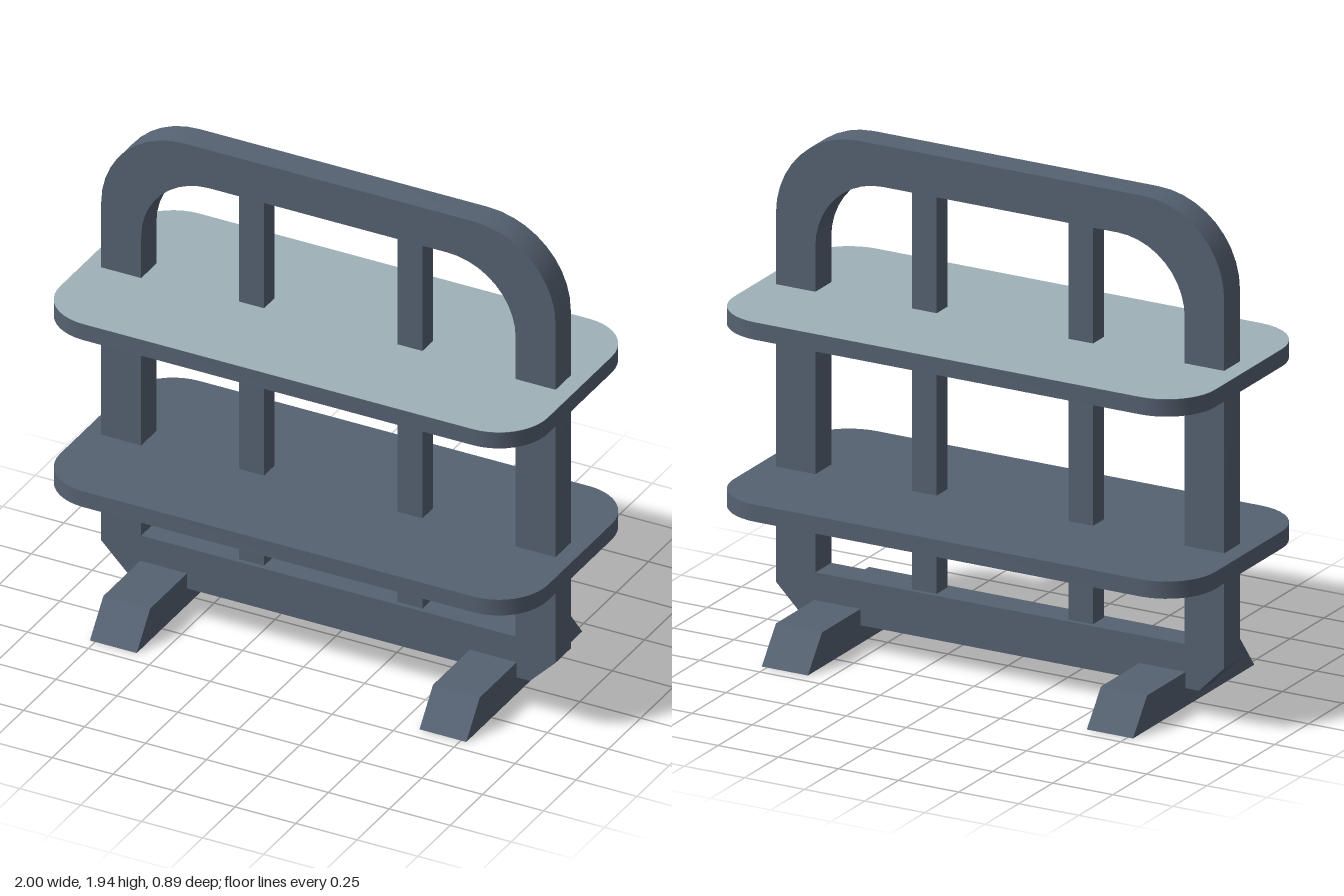
import * as THREE from 'three';
import { toCreasedNormals } from 'three/addons/utils/BufferGeometryUtils.js';

const slate = new THREE.MeshStandardMaterial({ color: 0x566272 });
slate.name = 'slate';
const paleGrey = new THREE.MeshStandardMaterial({ color: 0x9fb1b8 });
paleGrey.name = 'pale grey';

const HALF_PI = Math.PI / 2;

// Extrudes a shape, centred on its depth, with rounded corners smoothed
function extrude(shape, depth) {
  const geo = new THREE.ExtrudeGeometry(shape, { depth, bevelEnabled: false, curveSegments: 5 });
  geo.translate(0, 0, -depth / 2);
  return toCreasedNormals(geo, 0.6);
}

function roundedRect(hw, hh, r) {
  const s = new THREE.Shape();
  s.absarc(hw - r, hh - r, r, 0, HALF_PI);
  s.absarc(r - hw, hh - r, r, HALF_PI, Math.PI);
  s.absarc(r - hw, r - hh, r, Math.PI, 3 * HALF_PI);
  s.absarc(hw - r, r - hh, r, 3 * HALF_PI, 4 * HALF_PI);
  s.closePath();
  return s;
}

// Outline with two rounded top corners and optionally cut bottom corners
function archPath(path, hw, bottom, top, r, cut) {
  path.moveTo(hw - cut, bottom);
  if (cut) path.lineTo(hw, bottom + cut);
  path.lineTo(hw, top - r);
  path.absarc(hw - r, top - r, r, 0, HALF_PI);
  path.absarc(r - hw, top - r, r, HALF_PI, Math.PI);
  path.lineTo(-hw, bottom + cut);
  if (cut) path.lineTo(cut - hw, bottom);
  path.closePath();
  return path;
}

export function createModel() {
  const group = new THREE.Group();
  const add = (name, geo, material = slate) => {
    const mesh = new THREE.Mesh(geo, material);
    mesh.name = name;
    group.add(mesh);
    return mesh;
  };

  // Upright frame
  const frame = archPath(new THREE.Shape(), 0.932, 0.07, 1.937, 0.34, 0.105);
  frame.holes.push(archPath(new THREE.Path(), 0.768, 0.24, 1.777, 0.28, 0));
  add('frame', extrude(frame, 0.117));

  // Shelves, the upper one with a pale top
  const shelfShape = roundedRect(1, 0.447, 0.2);
  const shelfGeo = extrude(shelfShape, 0.066).rotateX(-HALF_PI);
  add('lowerShelf', shelfGeo).position.y = 0.586;
  add('upperShelf', shelfGeo).position.y = 1.288;
  const topGeo = new THREE.ShapeGeometry(shelfShape, 5).rotateX(-HALF_PI);
  add('upperShelfTop', topGeo, paleGrey).position.y = 1.3225;

  // Foot profile, long along z with sloping ends
  const footShape = new THREE.Shape([
    new THREE.Vector2(-0.447, 0), new THREE.Vector2(0.447, 0),
    new THREE.Vector2(0.343, 0.133), new THREE.Vector2(-0.343, 0.133),
  ]);
  const footGeo = extrude(footShape, 0.192).rotateY(HALF_PI);
  const slatGeo = new THREE.BoxGeometry(0.102, 1.56, 0.08);

  // Mirrored slats and feet
  for (const [side, name] of [[1, 'left'], [-1, 'right']]) {
    add(name + 'Slat', slatGeo).position.set(side * 0.325, 1.01, 0);
    add(name + 'Foot', footGeo).position.x = side * 0.676;
  }
  return group;
}
